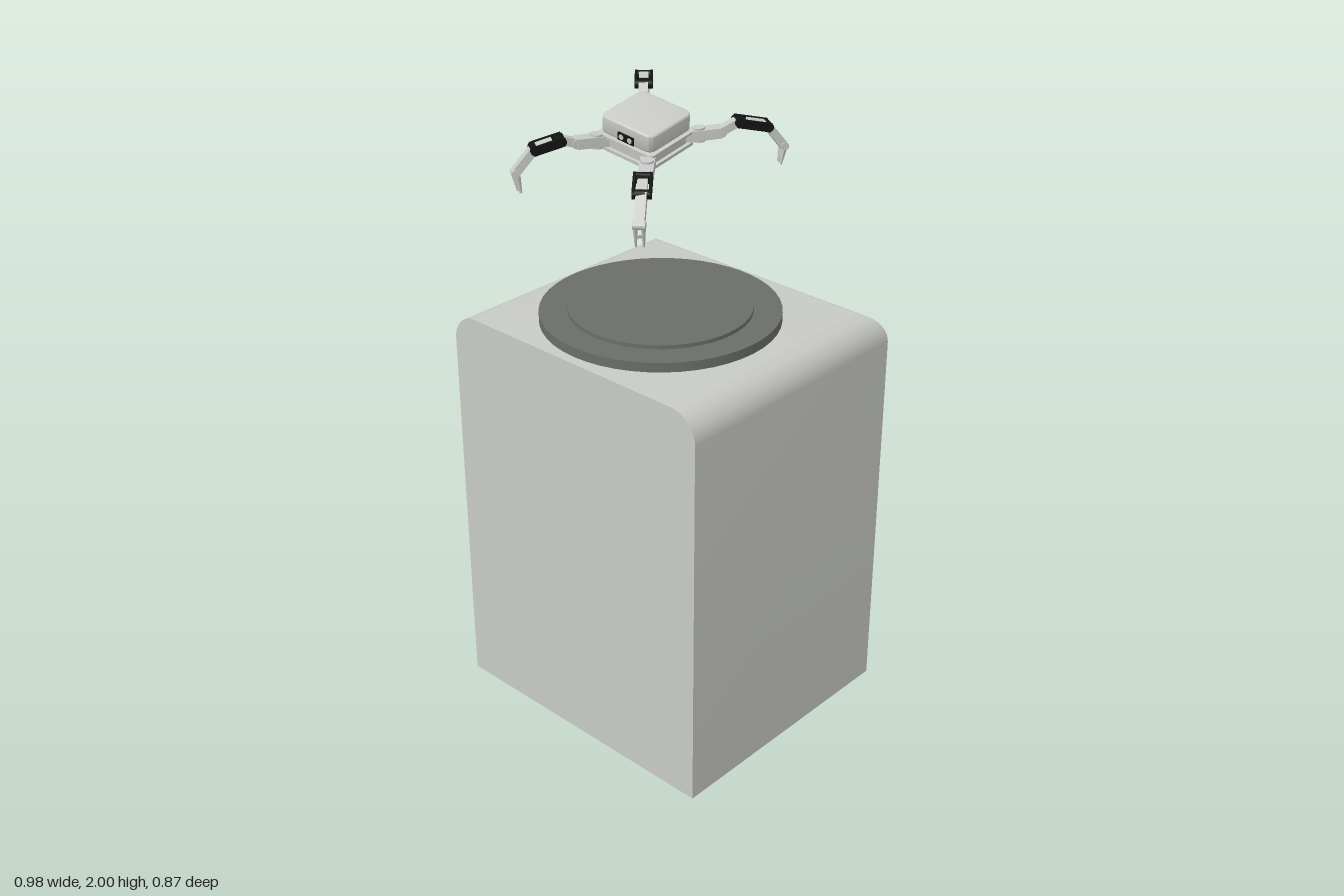
import * as THREE from 'three';
import { toCreasedNormals } from 'three/addons/utils/BufferGeometryUtils.js';

const mat = (name, color) => {
  const m = new THREE.MeshStandardMaterial({ color });
  m.name = name;
  return m;
};

// Rounded square lying flat, extruded upwards from y = 0
function plateGeometry(size, radius, height, bevel) {
  const h = size / 2 - bevel, r = radius;
  const s = new THREE.Shape();
  s.moveTo(-h + r, -h);
  s.lineTo(h - r, -h).absarc(h - r, -h + r, r, -Math.PI / 2, 0);
  s.lineTo(h, h - r).absarc(h - r, h - r, r, 0, Math.PI / 2);
  s.lineTo(-h + r, h).absarc(-h + r, h - r, r, Math.PI / 2, Math.PI);
  s.lineTo(-h, -h + r).absarc(-h + r, -h + r, r, Math.PI, Math.PI * 1.5);
  const g = new THREE.ExtrudeGeometry(s, {
    depth: height - 2 * bevel, bevelEnabled: bevel > 0, bevelSize: bevel,
    bevelThickness: bevel, bevelSegments: 3, curveSegments: 6,
  });
  g.translate(0, 0, bevel).rotateX(-Math.PI / 2);
  return toCreasedNormals(g, 0.6);
}

// Block with top edges rounded on the left, right and back, mitred at the back corners
function pedestalGeometry() {
  const X = 0.49, Z = 0.435, H = 1.325, rx = 0.09, rz = 0.065, steps = 10;
  const pos = [], index = [];
  const ring = (x, back, y) => pos.push(-x, y, Z, x, y, Z, x, y, back, -x, y, back);
  ring(X, -Z, 0);
  for (let i = 0; i <= steps; i++) {
    const t = (i / steps) * Math.PI / 2, c = 1 - Math.cos(t);
    ring(X - rx * c, -Z + rz * c, H - rx + rx * Math.sin(t));
  }
  for (let i = 0; i <= steps; i++) {
    for (let k = 0; k < 4; k++) {
      const a = i * 4 + k, b = i * 4 + (k + 1) % 4;
      index.push(a, b, b + 4, a, b + 4, a + 4);
    }
  }
  const t = (steps + 1) * 4;
  index.push(t, t + 1, t + 2, t, t + 2, t + 3, 0, 2, 1, 0, 3, 2);
  const g = new THREE.BufferGeometry();
  g.setAttribute('position', new THREE.Float32BufferAttribute(pos, 3));
  g.setIndex(index);
  return toCreasedNormals(g, 0.4);
}

export function createModel() {
  const model = new THREE.Group();
  model.name = 'robotOverPedestal';
  const light = mat('lightGrey', 0xc8cac6);
  const dark = mat('darkGrey', 0x6a6d69);
  const black = mat('black', 0x121312);

  const add = (parent, name, geometry, material, x = 0, y = 0, z = 0) => {
    const m = new THREE.Mesh(geometry, material);
    m.name = name;
    m.position.set(x, y, z);
    parent.add(m);
    return m;
  };
  const box = (parent, name, w, h, d, material, x, y, z) =>
    add(parent, name, new THREE.BoxGeometry(w, h, d), material, x, y, z);
  const axle = (parent, name, r, length, material, x, y, z) =>
    add(parent, name, new THREE.CylinderGeometry(r, r, length, 16), material, x, y, z)
      .rotateZ(Math.PI / 2);

  // Pedestal and its stepped round pad
  add(model, 'pedestal', pedestalGeometry(), light);
  add(model, 'outerDisc', new THREE.CylinderGeometry(0.365, 0.365, 0.032, 48), dark, -0.009, 1.339, 0.038);
  add(model, 'innerDisc', new THREE.CylinderGeometry(0.279, 0.279, 0.02, 48), dark, -0.009, 1.357, 0.038);

  // Tilted robot body
  const body = new THREE.Group();
  body.name = 'robotBody';
  body.position.set(-0.015, 1.92, 0.09);
  body.rotation.set(0.13, 0.07, -0.17);
  model.add(body);
  add(body, 'cover', plateGeometry(0.188, 0.018, 0.054, 0.006), light, 0, 0.005, 0);
  add(body, 'upperPlate', plateGeometry(0.2, 0.012, 0.008, 0), light, 0, -0.006, 0);
  add(body, 'core', plateGeometry(0.18, 0.01, 0.03, 0), light, 0, -0.035, 0);
  add(body, 'lowerPlate', plateGeometry(0.2, 0.012, 0.01, 0), light, 0, -0.044, 0);
  box(body, 'facePanel', 0.056, 0.024, 0.006, black, 0.005, 0.021, 0.095);
  for (const s of [-1, 1]) {
    axle(body, 'eye', 0.008, 0.004, light, 0.005 + s * 0.015, 0.021, 0.098).rotation.set(Math.PI / 2, 0, 0);
  }

  // A group running from a to b along its own +z, with its length
  const span = (parent, name, a, b) => {
    const g = new THREE.Group();
    g.name = name;
    g.position.copy(a);
    g.lookAt(b);
    parent.add(g);
    return [g, a.distanceTo(b)];
  };

  // Legs: hip, shoulder, knee start, knee end, ankle, tip
  const legs = {
    backRightLeg: [[-0.09, 1.915, 0.02], [-0.165, 1.945, -0.055], [-0.195, 1.975, -0.09],
      [-0.255, 1.975, -0.155], [-0.29, 1.925, -0.195], [-0.288, 1.86, -0.195]],
    backLeftLeg: [[0.05, 1.9, 0], [0.11, 1.905, -0.085], [0.137, 1.93, -0.13],
      [0.183, 1.91, -0.205], [0.208, 1.845, -0.25], [0.203, 1.79, -0.242]],
    frontRightLeg: [[-0.085, 1.9, 0.165], [-0.125, 1.905, 0.26], [-0.143, 1.92, 0.3],
      [-0.185, 1.9, 0.365], [-0.216, 1.835, 0.41], [-0.212, 1.775, 0.4]],
    frontLeftLeg: [[0.065, 1.875, 0.165], [0.125, 1.865, 0.24], [0.15, 1.88, 0.275],
      [0.192, 1.855, 0.325], [0.22, 1.785, 0.365], [0.203, 1.712, 0.345]],
  };
  for (const [name, path] of Object.entries(legs)) {
    const leg = new THREE.Group();
    leg.name = name;
    model.add(leg);
    const p = path.map((q) => new THREE.Vector3(...q));

    // Hip arm with motor collar
    const [hip, hl] = span(leg, 'hip', p[0], p[1]);
    box(hip, 'hipArm', 0.042, 0.03, hl, light, 0, 0, hl / 2);
    add(hip, 'hipPivot', new THREE.CylinderGeometry(0.019, 0.019, 0.042, 16), light, 0, 0, hl * 0.4);
    const [link, ll] = span(leg, 'hipLink', p[1], p[2]);
    box(link, 'linkBar', 0.028, 0.024, ll, light, 0, 0, ll / 2);
    axle(link, 'linkAxle', 0.015, 0.036, light, 0, 0, 0);

    // Thigh: black side plates around a grey motor
    const [thigh, tl] = span(leg, 'thigh', p[2], p[3]);
    for (const s of [-1, 1]) {
      box(thigh, 'thighPlate', 0.008, 0.026, tl + 0.012, black, s * 0.023, 0, tl / 2);
    }
    box(thigh, 'thighBridge', 0.046, 0.022, 0.012, black, 0, 0, tl * 0.15);
    box(thigh, 'thighMotor', 0.028, 0.024, tl * 0.6, light, 0, 0, tl * 0.6);
    for (const z of [0, tl]) axle(thigh, 'thighAxle', 0.013, 0.05, black, 0, 0, z);

    // Shin and tapered foot with two prongs
    const [shin, sl] = span(leg, 'shin', p[3], p[4]);
    box(shin, 'shinBar', 0.03, 0.024, sl + 0.008, light, 0, 0, sl / 2);
    axle(shin, 'ankleAxle', 0.012, 0.036, light, 0, 0, sl);
    const [foot, fl] = span(leg, 'foot', p[4], p[5]);
    for (const s of [-1, 1]) {
      const prong = new THREE.CylinderGeometry(0.004, 0.011, fl, 4).rotateX(Math.PI / 2).scale(0.7, 1, 1);
      add(foot, 'prong', toCreasedNormals(prong, 0.3), light, s * 0.011, 0, fl / 2);
    }
    box(foot, 'prongBrace', 0.022, 0.006, 0.012, light, 0, 0, fl * 0.5);
  }
  return model;
}
